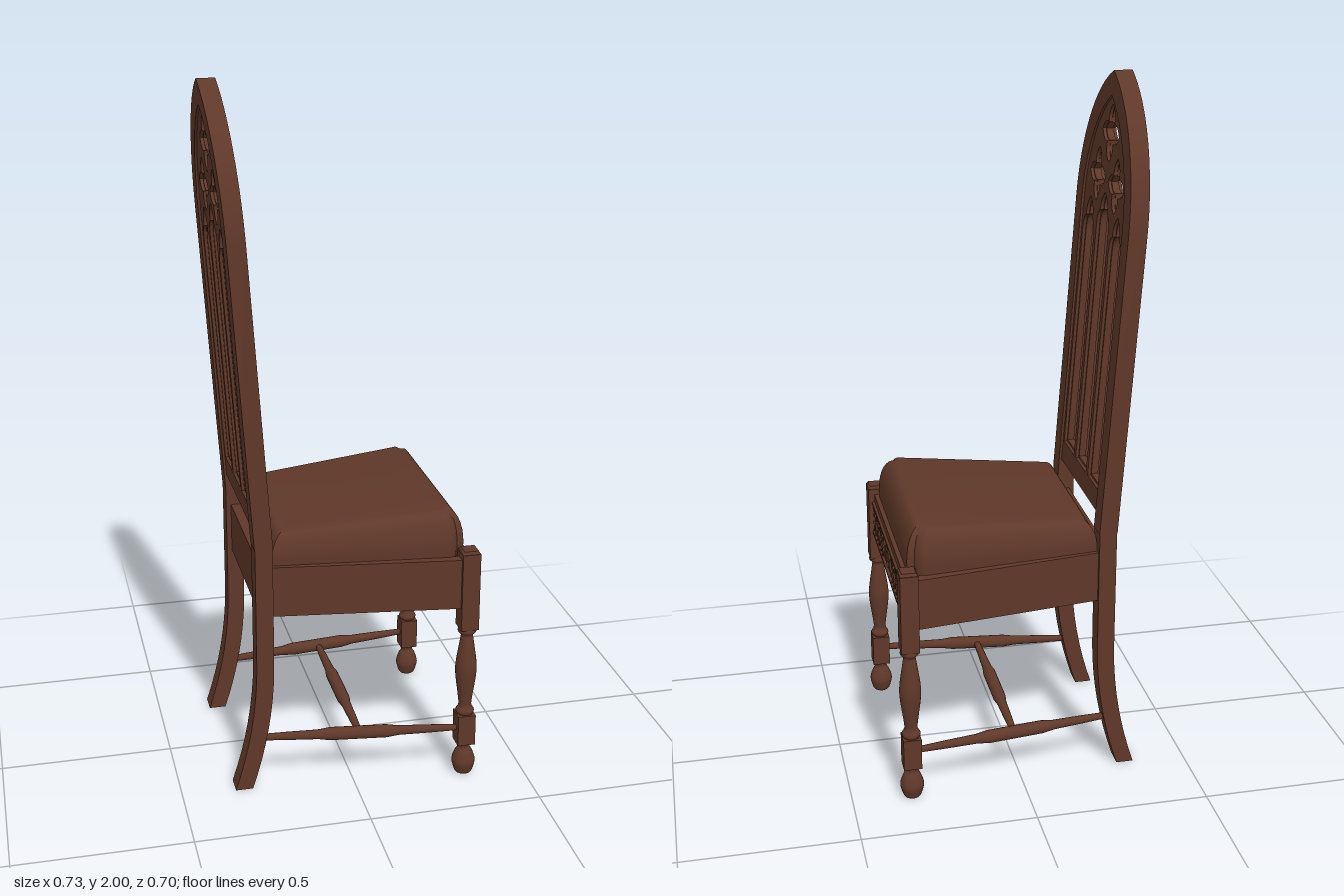
import * as THREE from 'three';
import { toCreasedNormals } from 'three/addons/utils/BufferGeometryUtils.js';

const wood = new THREE.MeshStandardMaterial({ color: 0x5f3829 });
wood.name = 'brown wood';

export function createModel() {
  const root = new THREE.Group();
  root.name = 'chair';
  // Built facing +z, then turned so the seat front points along +x
  const chair = new THREE.Group();
  chair.name = 'chairBody';
  chair.rotation.y = Math.PI / 2;
  root.add(chair);

  const add = (name, geo, x = 0, y = 0, z = 0) => {
    const mesh = new THREE.Mesh(geo, wood);
    mesh.name = name;
    mesh.position.set(x, y, z);
    chair.add(mesh);
    return mesh;
  };
  const box = (name, w, h, d, x, y, z) => add(name, new THREE.BoxGeometry(w, h, d), x, y, z);

  // Rake of the back and sweep of the rear legs
  const rake = y => -0.253 - Math.max(0, y - 0.75) * 0.07
    - 0.067 * Math.pow(Math.max(0, 0.4 - y) / 0.4, 2);
  const bend = geo => {
    const p = geo.attributes.position;
    for (let i = 0; i < p.count; i++) p.setZ(i, p.getZ(i) + rake(p.getY(i)));
    geo.computeVertexNormals();
    return toCreasedNormals(geo, 0.5);
  };
  const slab = (shape, depth) => bend(new THREE.ExtrudeGeometry(shape,
    { depth, bevelEnabled: false, curveSegments: 14 }).translate(0, 0, -depth / 2));

  // Rear legs
  for (const s of [-1, 1]) {
    const leg = new THREE.BoxGeometry(0.058, 0.75, 0.05, 1, 16, 1).translate(s * 0.244, 0.375, 0);
    add('rearLeg', bend(leg));
  }

  // Pointed arch outline from one foot to the other
  const SPRING = 1.6, CX = 0.157;
  const archPoints = (half, base) => {
    const r = half + CX, pts = [[half, base]], end = Math.acos(CX / r);
    for (let i = 0; i <= 16; i++) {
      const a = end * i / 16;
      pts.push([Math.max(0, r * Math.cos(a) - CX), SPRING + r * Math.sin(a)]);
    }
    const left = pts.slice(0, -1).reverse().map(([x, y]) => [-x, y]);
    return [...pts, ...left].map(([x, y]) => new THREE.Vector2(x, y));
  };
  add('archFrame', slab(new THREE.Shape([...archPoints(0.273, 0.75),
    ...archPoints(0.211, 0.75).reverse()]), 0.052));

  // Cusped lancet and quatrefoil openings; g widens them for the moulding
  const lancet = (cx, w, spring, tip, g) => {
    const p = new THREE.Path(), W = w + g, h = tip - spring, b = 0.86 - g;
    p.moveTo(cx - W, b);
    p.lineTo(cx + W, b);
    p.lineTo(cx + W, spring);
    p.quadraticCurveTo(cx + W, spring + h * 0.45, cx + 0.5 * w + g, spring + h * 0.5);
    p.quadraticCurveTo(cx + 0.6 * w + g, spring + h * 0.8, cx, tip + g);
    p.quadraticCurveTo(cx - 0.6 * w - g, spring + h * 0.8, cx - 0.5 * w - g, spring + h * 0.5);
    p.quadraticCurveTo(cx - W, spring + h * 0.45, cx - W, spring);
    p.closePath();
    return p;
  };
  const quatrefoil = (cx, cy, r) => {
    const p = new THREE.Path();
    const at = (x, y, k) => {
      const a = k * Math.PI / 2, c = Math.cos(a), s = Math.sin(a);
      return [cx + r * (x * c - y * s), cy + r * (x * s + y * c)];
    };
    p.moveTo(...at(0.33, 0.33, 0));
    for (let k = 0; k < 4; k++) {
      p.quadraticCurveTo(...at(0.42, 0.72, k), ...at(0, 1, k));
      p.quadraticCurveTo(...at(-0.42, 0.72, k), ...at(-0.33, 0.33, k));
    }
    return p;
  };
  const tracery = (name, depth, g) => {
    const shape = new THREE.Shape(archPoints(0.214, 0.79));
    shape.holes.push(lancet(0, 0.053, 1.56, 1.66, g), quatrefoil(0, 1.83, 0.074 + g));
    for (const s of [-1, 1]) {
      shape.holes.push(lancet(s * 0.139, 0.053, 1.51, 1.62, g),
        quatrefoil(s * 0.092, 1.7, 0.07 + g));
    }
    add(name, slab(shape, depth));
  };
  tracery('traceryCore', 0.02, 0);
  tracery('traceryMoulding', 0.038, 0.006);

  // Prism from a plan outline of [x, z] points
  const plan = pts => new THREE.Shape(pts.map(([x, z]) => new THREE.Vector2(x, -z)));
  const prism = (pts, y, h) => new THREE.ExtrudeGeometry(plan(pts),
    { depth: h, bevelEnabled: false }).rotateX(-Math.PI / 2).translate(0, y, 0);

  // Seat frame
  for (const s of [-1, 1]) {
    add('sideApron', prism([[s * 0.262, -0.23], [s * 0.333, 0.31],
      [s * 0.303, 0.31], [s * 0.232, -0.23]], 0.54, 0.15));
  }
  box('rearApron', 0.45, 0.15, 0.03, 0, 0.615, -0.248);
  box('frontApron', 0.59, 0.15, 0.03, 0, 0.615, 0.32);
  add('seatBoard', prism([[0.25, -0.24], [0.315, 0.32], [-0.315, 0.32], [-0.25, -0.24]], 0.655, 0.02));

  // Carved front band: edge fillets, central roundel, crossed lozenges
  for (const y of [0.566, 0.662]) box('carvedFillet', 0.57, 0.008, 0.01, 0, y, 0.338);
  const ring = (r, sides, x) => add('carvedRing',
    new THREE.TorusGeometry(r, 0.005, 4, sides), x, 0.614, 0.336);
  ring(0.034, 20, 0);
  ring(0.016, 12, 0);
  for (const s of [-1, 1]) {
    for (const x of [0.075, 0.148, 0.221]) {
      ring(0.03, 4, s * x);
      for (const t of [-1, 1]) {
        const bar = box('carvedBar', 0.05, 0.007, 0.008, s * (x + 0.037), 0.614 + t * 0.025, 0.337);
        bar.rotation.z = t * s * 0.6;
        const bar2 = box('carvedBar', 0.05, 0.007, 0.008, s * (x + 0.037), 0.614 + t * 0.025, 0.337);
        bar2.rotation.z = -t * s * 0.6;
      }
    }
  }

  // Cushion, rounded on top and rising toward the front
  const half = [[0.25, -0.226], [0.304, 0.275], [0.292, 0.294], [0.276, 0.302], [0.27, 0.322]];
  const outline = [...half, ...half.map(([x, z]) => [-x, z]).reverse()];
  const cushion = new THREE.ExtrudeGeometry(plan(outline), {
    depth: 0.03, bevelEnabled: true, bevelSize: 0.05, bevelOffset: -0.05,
    bevelThickness: 0.085, bevelSegments: 8,
  }).rotateX(-Math.PI / 2).translate(0, 0.685, 0);
  const cp = cushion.attributes.position;
  for (let i = 0; i < cp.count; i++) {
    const lift = Math.max(0, cp.getY(i) - 0.69) / 0.11;
    cp.setY(i, Math.max(0.67, cp.getY(i) + lift * 0.075 * (cp.getZ(i) - 0.02)));
  }
  cushion.computeVertexNormals();
  add('cushion', toCreasedNormals(cushion, 0.7));

  // Front legs: square blocks with turned sections between
  const lathe = pts => new THREE.LatheGeometry(
    new THREE.SplineCurve(pts.map(([r, y]) => new THREE.Vector2(r, y))).getPoints(40), 24);
  const foot = [[0.001, 0], [0.022, 0.001], [0.031, 0.022], [0.034, 0.042], [0.026, 0.068],
    [0.017, 0.085], [0.022, 0.105]];
  const shaft = [[0.02, 0.19], [0.027, 0.205], [0.019, 0.222], [0.021, 0.25], [0.03, 0.32],
    [0.03, 0.36], [0.02, 0.43], [0.018, 0.45], [0.027, 0.462], [0.022, 0.48]];
  const LX = 0.314, LZ = 0.327;
  for (const s of [-1, 1]) {
    add('frontLegFoot', lathe(foot), s * LX, 0, LZ);
    box('frontLegLowerBlock', 0.054, 0.095, 0.052, s * LX, 0.147, LZ);
    add('frontLegShaft', lathe(shaft), s * LX, 0, LZ);
    box('frontLegPost', 0.056, 0.235, 0.052, s * LX, 0.59, LZ);
    const cap = add('frontLegCap', new THREE.CylinderGeometry(0.03, 0.038, 0.01, 4)
      .rotateY(Math.PI / 4), s * LX, 0.711, LZ);
    cap.scale.z = 0.97;
  }

  // Turned stretchers in an H
  const stretcher = (name, a, b) => {
    const dir = b.clone().sub(a), L = dir.length();
    const prof = [[0.009, 0], [0.012, 0.15], [0.014, 0.3], [0.019, 0.36], [0.019, 0.64],
      [0.014, 0.7], [0.012, 0.85], [0.009, 1]].map(([r, t]) => new THREE.Vector2(r, t * L));
    const mesh = add(name, new THREE.LatheGeometry(prof, 16), a.x, a.y, a.z);
    mesh.quaternion.setFromUnitVectors(new THREE.Vector3(0, 1, 0), dir.normalize());
  };
  for (const s of [-1, 1]) {
    stretcher('sideStretcher', new THREE.Vector3(s * 0.245, 0.15, -0.275),
      new THREE.Vector3(s * LX, 0.148, LZ - 0.02));
  }
  stretcher('crossStretcher', new THREE.Vector3(-0.28, 0.149, 0.02), new THREE.Vector3(0.28, 0.149, 0.02));

  return root;
}
